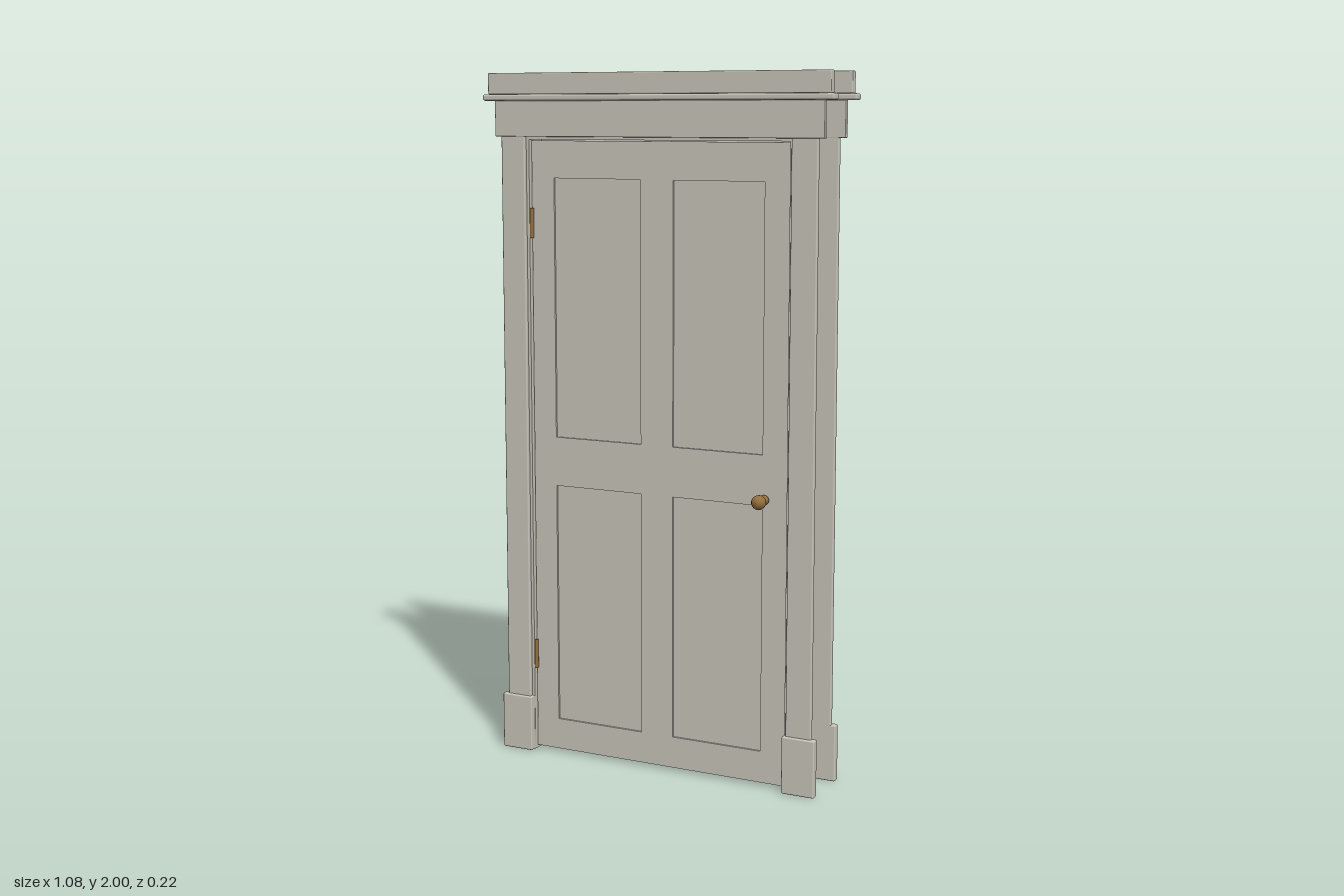
import * as THREE from 'three';
import { RoundedBoxGeometry } from 'three/addons/geometries/RoundedBoxGeometry.js';

export function createModel() {
  const paint = new THREE.MeshStandardMaterial({ color: 0xc8c4b9 });
  paint.name = 'stone paint';
  const brass = new THREE.MeshStandardMaterial({ color: 0x94703f });
  brass.name = 'aged brass';

  const model = new THREE.Group();
  model.name = 'framedDoor';

  const add = (parent, name, geometry, material = paint) => {
    const mesh = new THREE.Mesh(geometry, material);
    mesh.name = name;
    parent.add(mesh);
    return mesh;
  };
  // box given by its limits; bevel softens the edges
  const block = (parent, name, [x0, x1], [y0, y1], [z0, z1], bevel = 0, material = paint) => {
    const s = [x1 - x0, y1 - y0, z1 - z0];
    const g = bevel ? new RoundedBoxGeometry(...s, 2, bevel) : new THREE.BoxGeometry(...s);
    g.translate((x0 + x1) / 2, (y0 + y1) / 2, (z0 + z1) / 2);
    return add(parent, name, g, material);
  };
  const span = (a, b, side) => (side > 0 ? [a, b] : [-b, -a]);

  // Jamb lining the opening, with a narrow stop behind the door
  const jamb = new THREE.Group();
  jamb.name = 'jamb';
  model.add(jamb);
  for (const side of [1, -1]) {
    block(jamb, 'jambSide', span(0.406, 0.431, side), [0, 1.813], [-0.077, 0.058]);
    block(jamb, 'jambStop', span(0.396, 0.406, side), [0, 1.803], [-0.045, -0.012]);
  }
  block(jamb, 'jambHead', [-0.431, 0.431], [1.813, 1.838], [-0.077, 0.058]);
  block(jamb, 'headStop', [-0.406, 0.406], [1.803, 1.813], [-0.045, -0.012]);

  // Casing, repeated on both faces of the wall
  for (const face of [1, -1]) {
    const trim = new THREE.Group();
    trim.name = face > 0 ? 'frontTrim' : 'backTrim';
    const depth = (a, b) => span(a, b, face);
    for (const side of [1, -1]) {
      block(trim, 'casing', span(0.414, 0.491, side), [0.16, 1.825], depth(0.067, 0.081), 0.004);
      block(trim, 'plinthBlock', span(0.406, 0.505, side), [0, 0.166], depth(0.067, 0.09), 0.004);
    }
    block(trim, 'frieze', [-0.51, 0.51], [1.821, 1.922], depth(0.067, 0.082), 0.002);
    block(trim, 'capMoulding', [-0.542, 0.542], [1.922, 1.94], depth(0.064, 0.098), 0.006);
    block(trim, 'crown', [-0.529, 0.529], [1.94, 2], depth(0.064, 0.088), 0.003);
    trim.position.z = -0.0105;
    model.add(trim);
  }

  // Door leaf: a pierced frame holding four recessed panels
  const door = new THREE.Group();
  door.name = 'door';
  model.add(door);
  const zBack = 0.008, zFront = 0.048;
  const rect = (Type, x0, x1, y0, y1) => new Type([
    new THREE.Vector2(x0, y0), new THREE.Vector2(x1, y0),
    new THREE.Vector2(x1, y1), new THREE.Vector2(x0, y1),
  ]);
  const leaf = rect(THREE.Shape, -0.403, 0.403, 0.01, 1.81);
  for (const [x0, x1] of [[-0.33, -0.052], [0.05, 0.328]]) {
    for (const [y0, y1] of [[0.102, 0.811], [0.955, 1.704]]) {
      leaf.holes.push(rect(THREE.Path, x0, x1, y0, y1));
      block(door, 'panel', [x0, x1], [y0, y1], [zBack + 0.006, zFront - 0.006]);
    }
  }
  const frame = new THREE.ExtrudeGeometry(leaf, { depth: zFront - zBack, bevelEnabled: false });
  frame.translate(0, 0, zBack);
  add(door, 'doorFrame', frame);

  // Knob on each face
  const profile = [[0, 0], [0.014, 0], [0.014, 0.004], [0.008, 0.007], [0.008, 0.022],
    [0.015, 0.026], [0.0195, 0.033], [0.0205, 0.04], [0.0195, 0.047], [0.015, 0.054], [0.008, 0.059], [0, 0.06]];
  const knob = new THREE.LatheGeometry(profile.map(([x, y]) => new THREE.Vector2(x, y)), 24);
  for (const face of [1, -1]) {
    const mesh = add(door, face > 0 ? 'frontKnob' : 'backKnob', knob, brass);
    mesh.rotation.x = face * Math.PI / 2;
    mesh.position.set(0.335, 0.829, face > 0 ? zFront : zBack);
  }

  // Hinges: leaf in the gap and a knuckle on the front
  for (const y of [0.295, 1.575]) {
    const hinge = new THREE.Group();
    hinge.name = 'hinge';
    block(hinge, 'hingeLeaf', [-0.4075, -0.401], [y - 0.043, y + 0.043], [0.004, 0.05], 0, brass);
    const pin = add(hinge, 'hingeKnuckle', new THREE.CylinderGeometry(0.006, 0.006, 0.086, 12), brass);
    pin.position.set(-0.403, y, 0.051);
    model.add(hinge);
  }
  return model;
}
